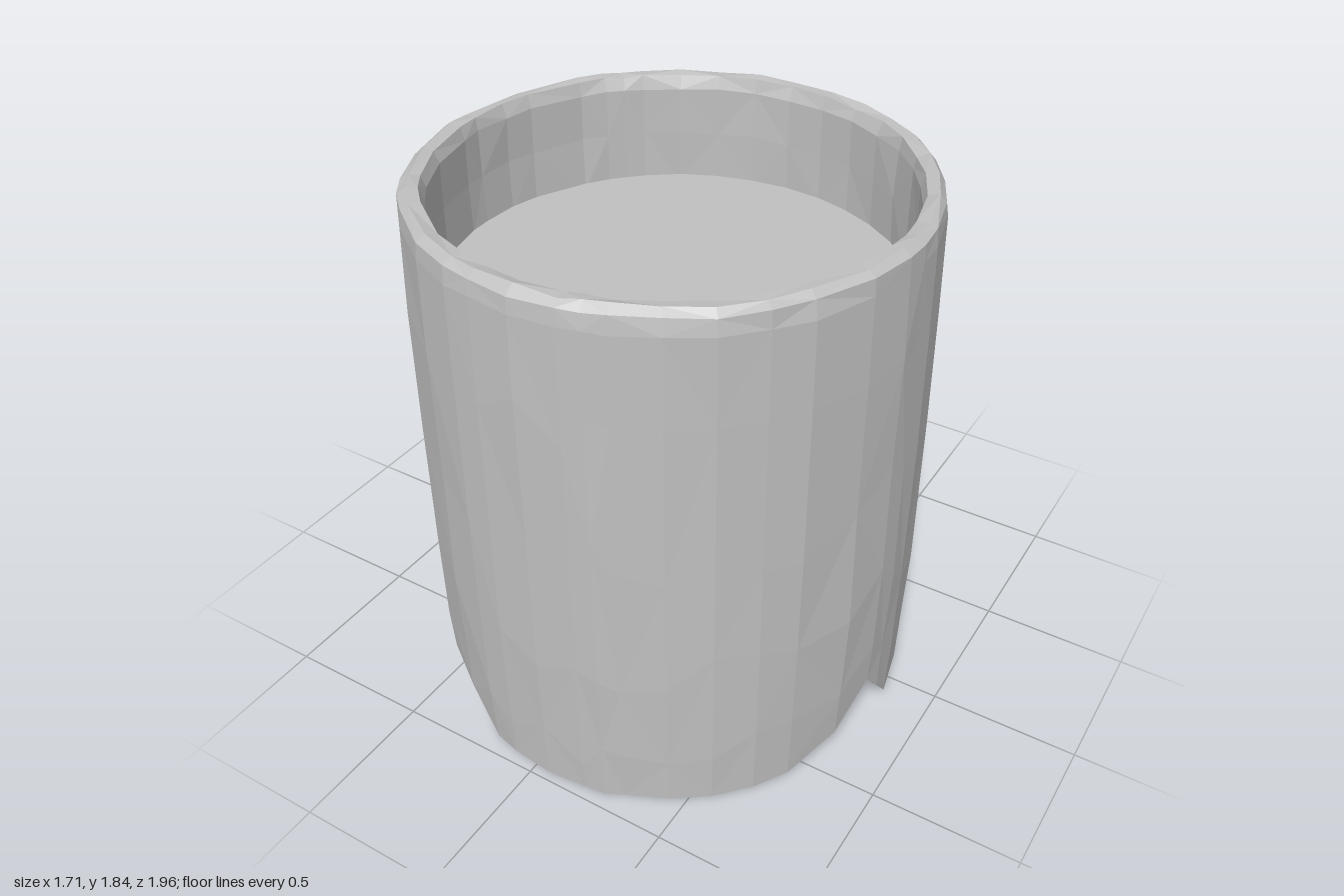
import * as THREE from 'three';

const CX = 0.055, CZ = 0.18, TOP = 1.825;

// Broken lower edge: [angle from the front in degrees, height]
const EDGE = [[-180, 0.01], [-135, 0.02], [-123, 0.15], [-108, 0.02], [-84, 0.02], [-57, 0.41],
  [-43, 0.13], [-28, 0.13], [-17, 0.02], [15, 0.01], [59, 0.04], [73, 0.11], [84, 0.24],
  [97, 0.03], [140, 0.01], [180, 0.01]];

function edgeHeight(deg) {
  const k = Math.max(1, EDGE.findIndex(e => e[0] >= deg));
  const [a0, h0] = EDGE[k - 1], [a1, h1] = EDGE[k];
  return h0 + (h1 - h0) * (deg - a0) / (a1 - a0);
}

function seeded(seed) {
  return () => (seed = (seed * 16807) % 2147483647) / 2147483647 - 0.5;
}

// Cup wall: columns around, rows from the lower lip over the rim and down inside
function wallGeometry() {
  const rand = seeded(41);
  const angles = EDGE.map(e => e[0]).slice(0, -1);
  for (let a = -170; a < 180; a += 10) {
    if (EDGE.every(e => Math.abs(e[0] - a) > 4)) angles.push(a);
  }
  angles.sort((a, b) => a - b);

  const outer = [[0.793, 0], [0.803, 0.1], [0.81, 0.3], [0.81, 0.55], [0.81, 0.8], [0.808, 0.97], [0.8, 1]];
  const inner = [[0.775, 1.845], [0.74, 1.84], [0.728, 1.8], [0.728, 1.64], [0.728, 1.46]];
  const pos = [], index = [];
  const rows = 1 + outer.length + inner.length, n = angles.length;

  angles.forEach((deg, i) => {
    const t = deg * Math.PI / 180, low = edgeHeight(deg);
    const column = [
      [low < 0.06 ? 0.745 : 0.785, low + 0.012],
      ...outer.map(([r, f]) => [r, low + (TOP - low) * f]),
      ...inner,
    ];
    column.forEach(([r, y], j) => {
      const rr = r + rand() * 0.008;
      const middle = j > 1 && j < 6;
      const yy = y + rand() * (middle ? 0.16 : 0.01) * (middle && low > 0.1 ? 0.3 : 1);
      pos.push(CX + rr * Math.sin(t), Math.max(0, yy), CZ + rr * Math.cos(t));
      if (j === rows - 1) return;
      const a = i * rows + j, b = ((i + 1) % n) * rows + j;
      if ((i + j) % 2) index.push(a, b, b + 1, a, b + 1, a + 1);
      else index.push(a, b, a + 1, b, b + 1, a + 1);
    });
  });

  const g = new THREE.BufferGeometry();
  g.setAttribute('position', new THREE.Float32BufferAttribute(pos, 3));
  g.setIndex(index);
  g.computeVertexNormals();
  return g;
}

// Handle: a flattened tube along a planar arc
function handleGeometry() {
  const path = new THREE.CatmullRomCurve3([
    [0.77, 1.49], [0.93, 1.52], [1.11, 1.44], [1.26, 1.23], [1.325, 0.9],
    [1.26, 0.63], [1.12, 0.43], [0.94, 0.33], [0.77, 0.34],
  ].map(([x, y]) => new THREE.Vector3(x, y, 0)));
  const g = new THREE.TubeGeometry(path, 11, 0.07, 8, false);
  g.rotateX(0);
  g.scale(1, 1, 1.75);
  return g;
}

export function createModel() {
  const group = new THREE.Group();
  const grey = new THREE.MeshStandardMaterial({ color: 0xc0c0c0, flatShading: true, side: THREE.DoubleSide });
  grey.name = 'plain grey';

  const add = (name, geometry) => {
    const mesh = new THREE.Mesh(geometry, grey);
    mesh.name = name;
    group.add(mesh);
    return mesh;
  };

  add('cupWall', wallGeometry());

  const handle = add('handle', handleGeometry());
  handle.position.set(CX, 0, CZ);
  handle.rotation.y = Math.atan2(0.797, -0.605);

  // Flat surface of the drink
  const drink = add('drinkSurface', new THREE.CircleGeometry(0.74, 32));
  drink.rotation.x = -Math.PI / 2;
  drink.position.set(CX, 1.48, CZ);

  return group;
}
